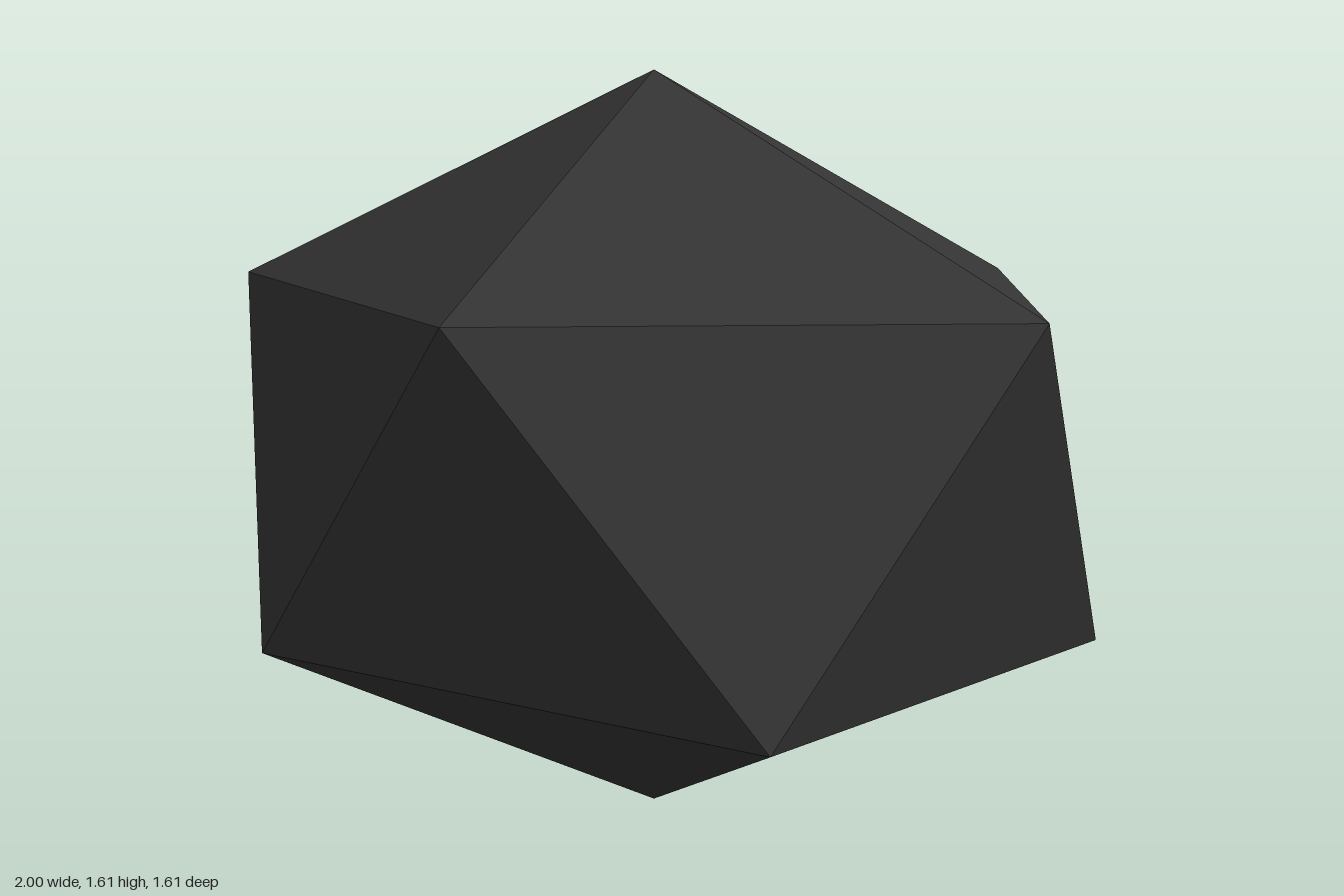
import * as THREE from 'three';

export function createModel() {
  const group = new THREE.Group();
  group.name = 'boulder';

  const charcoal = new THREE.MeshStandardMaterial({ color: 0x333333 });
  charcoal.name = 'charcoal stone';
  charcoal.flatShading = true;

  // Circumradius that gives the two rings of five corners a radius of 1
  const radius = Math.sqrt(5) / 2;
  const height = 1.61;
  const halfDepth = 0.805;

  // Icosahedron tipped to stand on one corner, with an upper ring corner towards +x
  const golden = (1 + Math.sqrt(5)) / 2;
  const geometry = new THREE.IcosahedronGeometry(radius, 0);
  geometry.rotateZ(-Math.atan2(1, golden));

  // Squash to the stone's height and depth, then rest it on the ground
  geometry.scale(1, height / (2 * radius), halfDepth / Math.sin(Math.PI * 0.4));
  geometry.translate(0, height / 2, 0);
  geometry.computeVertexNormals();

  const stone = new THREE.Mesh(geometry, charcoal);
  stone.name = 'stone';
  group.add(stone);
  return group;
}
